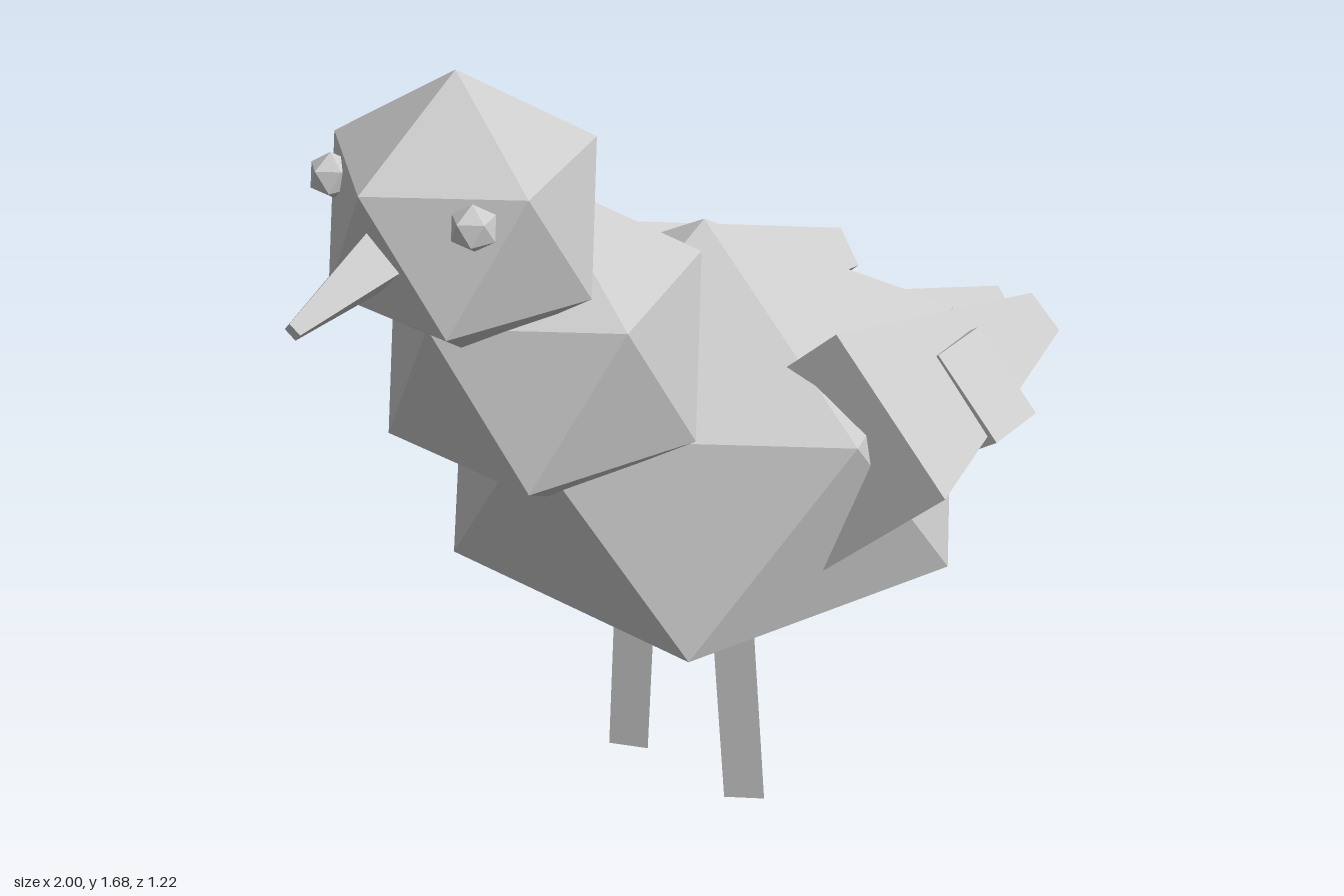
import * as THREE from 'three';
import { ConvexGeometry } from 'three/addons/geometries/ConvexGeometry.js';

const V = (p) => new THREE.Vector3(...p);

export function createModel() {
  const bird = new THREE.Group();
  bird.name = 'bird';
  const grey = new THREE.MeshStandardMaterial({ color: 0xcccccc, flatShading: true });
  grey.name = 'plain grey';

  const add = (name, geometry) => {
    const mesh = new THREE.Mesh(geometry, grey);
    mesh.name = name;
    bird.add(mesh);
    return mesh;
  };

  // Twenty-sided ball standing on one corner, with an upper corner towards -x
  const ball = (name, radius, centre, squash = 1) => {
    const g = new THREE.IcosahedronGeometry(radius, 0);
    g.rotateZ(Math.atan(2 / (1 + Math.sqrt(5))));
    g.scale(1, squash, 1);
    add(name, g).position.set(...centre);
  };

  // Tapered bar with few sides running from a to b
  const bar = (name, a, b, ra, rb, sides) => {
    const dir = V(b).sub(V(a));
    const mesh = add(name, new THREE.CylinderGeometry(rb, ra, dir.length(), sides));
    mesh.position.copy(V(a)).addScaledVector(dir, 0.5);
    mesh.quaternion.setFromUnitVectors(new THREE.Vector3(0, 1, 0), dir.normalize());
  };

  // Block spanned by two four-cornered ends, mirrored in z by side
  const block = (name, corners, side) =>
    add(name, new ConvexGeometry(corners.map(([x, y, z]) => new THREE.Vector3(x, y, z * side))));

  // Body, neck and head
  ball('body', 0.545, [-0.006, 0.757, 0], 0.803);
  ball('neck', 0.31, [-0.437, 1.12, 0]);
  ball('head', 0.25, [-0.62, 1.428, 0]);

  // Beak and tail, both with a diamond section
  bar('beak', [-0.73, 1.442, 0], [-0.997, 1.368, 0], 0.076, 0.017, 4);
  bar('tail', [0.2, 0.735, 0], [0.979, 0.57, 0], 0.214, 0.097, 4);

  for (const side of [1, -1]) {
    const label = side > 0 ? 'left' : 'right';
    ball(label + 'Eye', 0.04, [-0.753, 1.5, 0.155 * side]);

    // Wing: corners in the order top, outer, bottom, inner
    block(label + 'Wing', [
      [-0.1, 1.12, 0.37], [-0.1, 0.88, 0.61], [-0.16, 0.655, 0.375], [-0.16, 0.895, 0.135],
      [0.745, 0.825, 0.24], [0.742, 0.765, 0.312], [0.72, 0.697, 0.247], [0.723, 0.765, 0.175],
    ], side);

    // Raised band of feathers around the wing
    block(label + 'WingBand', [
      [0.19, 0.965, 0.39], [0.183, 0.835, 0.53], [0.165, 0.715, 0.355], [0.172, 0.845, 0.215],
      [0.385, 0.93, 0.348], [0.382, 0.795, 0.488], [0.35, 0.675, 0.31], [0.353, 0.8, 0.17],
    ], side);
  }

  // Three-sided legs, leaning slightly outwards
  bar('leftLeg', [-0.07, 0.017, 0.158], [-0.07, 0.48, 0.122], 0.046, 0.046, 3);
  bar('rightLeg', [-0.07, 0.004, -0.142], [-0.07, 0.48, -0.112], 0.046, 0.046, 3);

  return bird;
}
